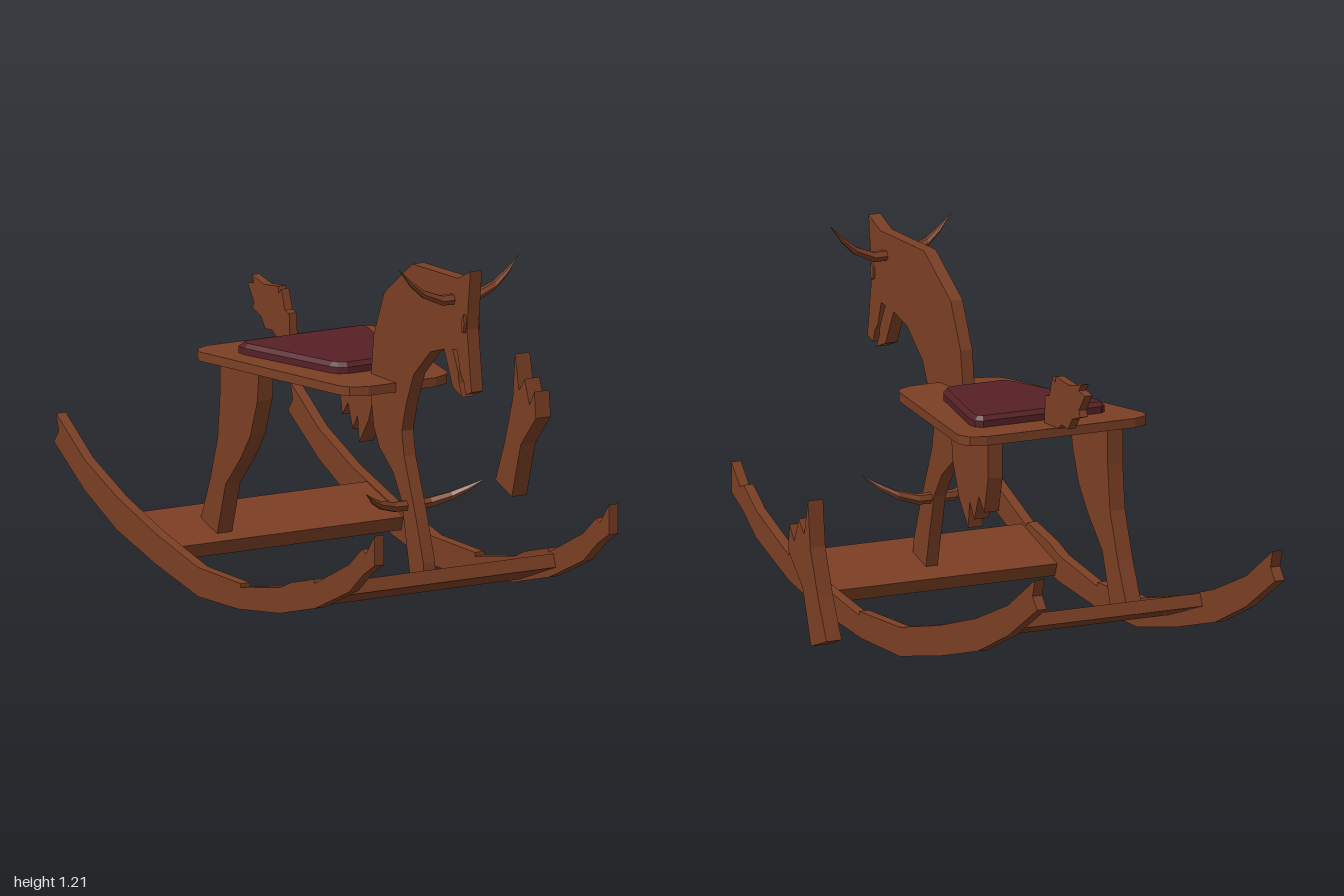
import * as THREE from 'three';

const CX = -0.22; // centre plane of the horse

export function createModel() {
  const root = new THREE.Group();
  const wood = new THREE.MeshStandardMaterial({ color: 0x7b3f24 });
  wood.name = 'wood';
  const leather = new THREE.MeshStandardMaterial({ color: 0x552025 });
  leather.name = 'seat leather';

  const add = (name, geo, mat = wood) => {
    const m = new THREE.Mesh(geo, mat);
    m.name = name;
    root.add(m);
    return m;
  };
  const toShape = pts => new THREE.Shape(pts.map(p => new THREE.Vector2(p[0], p[1])));

  // Side profile of [z, y] points, cut from a board spanning x0..x1
  const plate = (name, pts, x0, x1) => {
    const g = new THREE.ExtrudeGeometry(toShape(pts), { depth: x1 - x0, bevelEnabled: false });
    g.rotateY(-Math.PI / 2).translate(x1, 0, 0);
    return add(name, g);
  };

  // Symmetric plan outline of [halfWidth, z] points, lying flat below yTop
  const slab = (name, half, yTop, depth, bevel, mat) => {
    const pts = [...half, ...half.map(([w, z]) => [-w, z]).reverse()];
    const g = new THREE.ExtrudeGeometry(toShape(pts), {
      depth: depth - bevel, bevelEnabled: bevel > 0, bevelSize: bevel,
      bevelThickness: bevel, bevelOffset: -bevel, bevelSegments: 1,
    });
    g.rotateX(Math.PI / 2).translate(CX, yTop - bevel, 0);
    return add(name, g, mat);
  };

  // Rockers with notched ends
  const rocker = [
    [1, 0.42], [0.945, 0.35], [0.92, 0.36], [0.84, 0.295], [0.625, 0.19], [0.62, 0.203],
    [0.48, 0.165], [0.41, 0.135], [0.165, 0.085], [0.165, 0.098], [-0.1, 0.098],
    [-0.36, 0.155], [-0.6, 0.225], [-0.81, 0.31], [-0.985, 0.425], [-0.97, 0.37],
    [-1, 0.33], [-0.81, 0.21], [-0.61, 0.12], [-0.36, 0.055], [-0.1, 0.003],
    [0.15, 0.012], [0.41, 0.05], [0.63, 0.11], [0.84, 0.205], [0.93, 0.28], [1, 0.322],
  ];
  plate('rightRocker', rocker, -0.675, -0.64);
  plate('leftRocker', rocker, 0.19, 0.225);

  // Tilted boards joining the rockers
  plate('frontBoard', [[0.67, 0.15], [0.655, 0.192], [0.425, 0.107], [0.44, 0.065]], -0.64, 0.19);
  plate('rearBoard', [[-0.525, 0.155], [-0.51, 0.195], [-0.28, 0.125], [-0.293, 0.08]], -0.64, 0.19);

  // Head, neck and front leg in one board
  plate('headNeckAndFrontLeg', [
    [0.868, 1.205], [0.79, 1.168], [0.505, 1.158], [0.33, 1.03], [0.265, 0.88], [0.243, 0.705],
    [0.265, 0.58], [0.3, 0.52], [0.385, 0.455], [0.44, 0.37], [0.495, 0.12], [0.58, 0.145],
    [0.575, 0.195], [0.53, 0.33], [0.455, 0.52], [0.44, 0.6], [0.468, 0.695], [0.515, 0.8],
    [0.618, 0.893], [0.703, 0.92], [0.72, 0.885], [0.757, 0.807], [0.817, 0.785],
    [0.797, 0.825], [0.793, 0.86], [0.757, 0.93], [0.785, 0.935], [0.805, 0.86],
    [0.825, 0.84], [0.838, 0.797], [0.875, 0.812], [0.868, 0.86], [0.847, 1.01], [0.853, 1.075],
  ], -0.243, -0.2);

  // Raised eyes
  plate('eyes', [[0.84, 1.06], [0.825, 1.04], [0.825, 1.005], [0.838, 1.0], [0.845, 1.03]], -0.253, -0.193);

  // Tail
  plate('tail', [
    [-0.27, 0.745], [-0.275, 0.84], [-0.302, 0.845], [-0.323, 0.91], [-0.34, 0.893],
    [-0.345, 0.915], [-0.43, 0.904], [-0.51, 0.92], [-0.495, 0.898], [-0.535, 0.888],
    [-0.495, 0.834], [-0.505, 0.813], [-0.452, 0.797], [-0.425, 0.76], [-0.382, 0.765], [-0.34, 0.738],
    [-0.34, 0.725],
  ], -0.235, -0.207);

  // Seat board and cushion
  slab('seat', [
    [0.27, -0.355], [0.32, -0.335], [0.338, -0.29], [0.2, 0.345], [0.18, 0.38], [0.125, 0.405],
  ], 0.75, 0.03, 0);
  slab('cushion', [
    [0.215, -0.235], [0.236, -0.217], [0.236, -0.18], [0.133, 0.175], [0.118, 0.2], [0.09, 0.215],
  ], 0.785, 0.035, 0.014, leather);

  // Rear legs: one whole, one snapped with its lower half lying apart
  const legTopFront = [[-0.067, 0.722], [-0.077, 0.62], [-0.12, 0.5], [-0.18, 0.415]];
  const legLowFront = [[-0.275, 0.31], [-0.33, 0.13]];
  const legLowBack = [[-0.432, 0.165], [-0.375, 0.3], [-0.325, 0.45]];
  const legTopBack = [[-0.31, 0.6], [-0.31, 0.722]];
  const crack = [[-0.19, 0.5], [-0.22, 0.45], [-0.25, 0.53], [-0.285, 0.485]];
  plate('rightRearLeg', [...legTopFront, ...legLowFront, ...legLowBack, ...legTopBack], -0.47, -0.415);
  plate('leftRearLegStub', [...legTopFront, ...crack, ...legTopBack], -0.033, 0.02);
  plate('brokenLegPiece',
    [legTopFront[3], ...legLowFront, ...legLowBack, legTopBack[0], ...crack.slice().reverse()],
    0.62, 0.675);

  // Curved tapering horns: [x, y, radius] stations of one half, mirrored
  const half = [[0.065, 0, 0.018], [0.13, 0.027, 0.015], [0.175, 0.064, 0.011], [0.22, 0.115, 0.001]];
  const stations = [...half.map(([x, y, r]) => [-x, y, r]).reverse(), ...half];
  const horn = (name, y, z, tilt) => {
    const n = stations.length - 1;
    let g = new THREE.CylinderGeometry(1, 1, n, 6, n);
    g.rotateZ(-Math.PI / 2);
    const p = g.attributes.position;
    for (let i = 0; i < p.count; i++) {
      const [sx, sy, r] = stations[Math.round(p.getX(i) + n / 2)];
      p.setXYZ(i, sx, sy + p.getY(i) * r, p.getZ(i) * r);
    }
    g = g.toNonIndexed();
    g.computeVertexNormals();
    const m = add(name, g);
    m.position.set(CX, y, z);
    m.rotation.x = tilt;
  };
  horn('handleHorns', 1.094, 0.757, 0);
  horn('footRestHorns', 0.362, 0.465, 0.85);

  return root;
}
